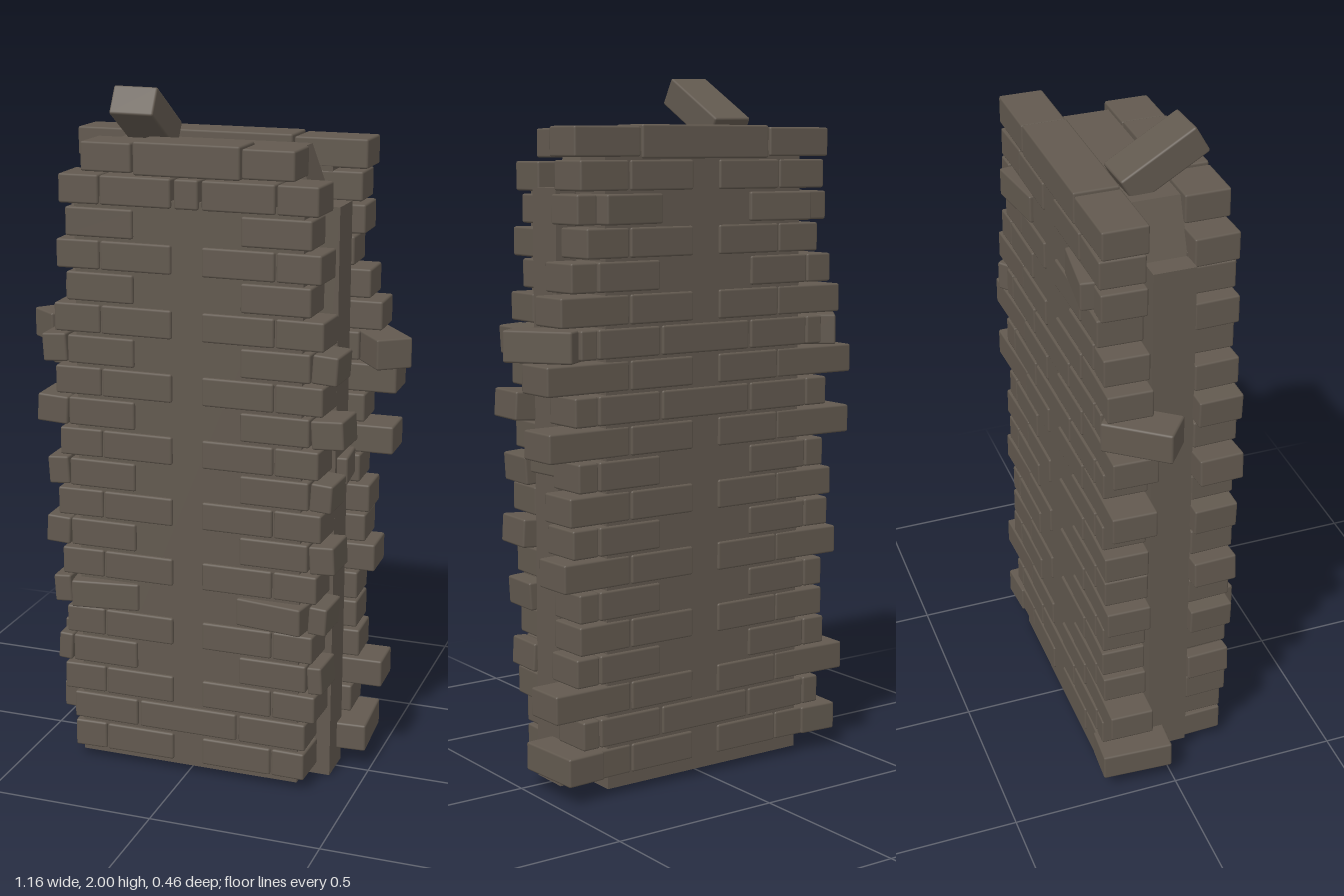
import * as THREE from 'three';
import { RoundedBoxGeometry } from 'three/addons/geometries/RoundedBoxGeometry.js';

export function createModel() {
  const group = new THREE.Group();
  group.name = 'brickPillar';
  const stone = new THREE.MeshStandardMaterial({ color: 0x62594f });
  stone.name = 'brownStone';

  const add = (name, geometry, x, y, z, rx = 0, ry = 0, rz = 0) => {
    const mesh = new THREE.Mesh(geometry, stone);
    mesh.name = name;
    mesh.position.set(x, y, z);
    mesh.rotation.set(rx, ry, rz);
    group.add(mesh);
    return mesh;
  };
  const brick = (name, w, h, d, x, y, z, rx, ry, rz) =>
    add(name, new RoundedBoxGeometry(w, h, d, 1, 0.006), x, y, z, rx, ry, rz);

  // Solid core with chamfered shoulders
  const outline = new THREE.Shape([
    [-0.335, 0.02], [0.335, 0.02], [0.335, 1.68], [0.275, 1.84], [-0.275, 1.84], [-0.335, 1.68],
  ].map(([x, y]) => new THREE.Vector2(x, y)));
  add('coreMiddle', new THREE.ExtrudeGeometry(outline, { depth: 0.15, bevelEnabled: false }), 0, 0, -0.08);
  add('coreFront', new THREE.BoxGeometry(0.67, 1.68, 0.12), 0, 0.86, 0.126);
  add('coreBack', new THREE.BoxGeometry(0.67, 1.77, 0.12), 0, 0.905, -0.135);

  // Narrow posts in the side grooves
  add('leftPost', new THREE.BoxGeometry(0.09, 1.69, 0.12), 0.355, 0.845, 0.01);
  add('rightPost', new THREE.BoxGeometry(0.08, 1.63, 0.12), -0.355, 0.875, 0.01);

  // Outer reach of each course, bottom to top
  const frontReach = [0.36, 0.36, 0.39, 0.41, 0.38, 0.42, 0.39, 0.44, 0.40, 0.43,
    0.39, 0.46, 0.40, 0.44, 0.40, 0.38, 0.39, 0.36, 0.38, 0.31];
  const backReach = [0.40, 0.42, 0.51, 0.44, 0.43, 0.43, 0.48, 0.45, 0.46, 0.43,
    0.525, 0.44, 0.53, 0.42, 0.485, 0.45, 0.40, 0.43, 0.42, 0.435];

  const span = (name, s, a, b, y, z, ry = 0, rz = 0) =>
    brick(name, b - a, 0.082, 0.128, s * (a + b) / 2, y, z, 0, s * ry, s * rz);

  // Staggered courses, mirrored left and right
  for (let i = 0; i < 20; i++) {
    const even = i % 2 === 0;
    for (const front of [true, false]) {
      const name = front ? 'frontBrick' : 'backBrick';
      const reach = front ? frontReach[i] : backReach[i];
      const y = front ? 0.075 + i * 0.0914 : 0.096 + i * 0.0905;
      const z = front ? 0.132 : -0.138;
      for (const s of [-1, 1]) {
        if (i === 19) {
          const inner = front ? 0.16 : 0.222;
          span(name, s, inner, reach, y, z);
          continue;
        }
        // Inner brick, some twisted out of line
        let twist = 0;
        if (front && i === 5) twist = -0.15;
        if (!front && i === 17) twist = 0.13;
        const a = even ? 0.045 : 0.158;
        const b = even ? 0.255 : Math.min(reach, 0.36);
        span(name, s, a, b, y, z + (twist ? Math.sign(z) * 0.018 : 0), twist);
        // Outer brick, slightly uneven
        if (reach - b > 0.025) {
          const lean = front && !even ? ((i % 4) - 2) * 0.06 : 0;
          span(name, s, b + 0.006, reach, y, z, front ? -0.03 : 0.03, lean);
        }
      }
      // Bricks bridging the centre
      if (i === 19) brick(name, front ? 0.31 : 0.434, 0.092, 0.128, 0, y, z);
      else if (i === 1 || (!front && (i === 11 || i === 13))) brick(name, 0.3, 0.082, 0.128, 0, y, z);
      else if (front && i === 18) brick(name, 0.07, 0.082, 0.128, 0, y, z);
    }
  }

  // Loose bricks jutting out of the sides
  for (const s of [-1, 1]) {
    brick('juttingBrick', 0.2, 0.088, 0.107, s * 0.477, 1.27, -0.107, 0, -s * 0.915, 0);
    brick('footBrick', 0.12, 0.082, 0.21, s * 0.42, 0.096, -0.108, 0, s * 0.06, 0);
  }
  brick('sideBrick', 0.08, 0.08, 0.125, 0.385, 0.937, -0.008, 0, 0.1, 0);

  // Tilted brick lying on the top
  brick('topBrick', 0.128, 0.085, 0.24, -0.175, 1.904, 0.04, -0.52, 0.03, 0);
  return group;
}
